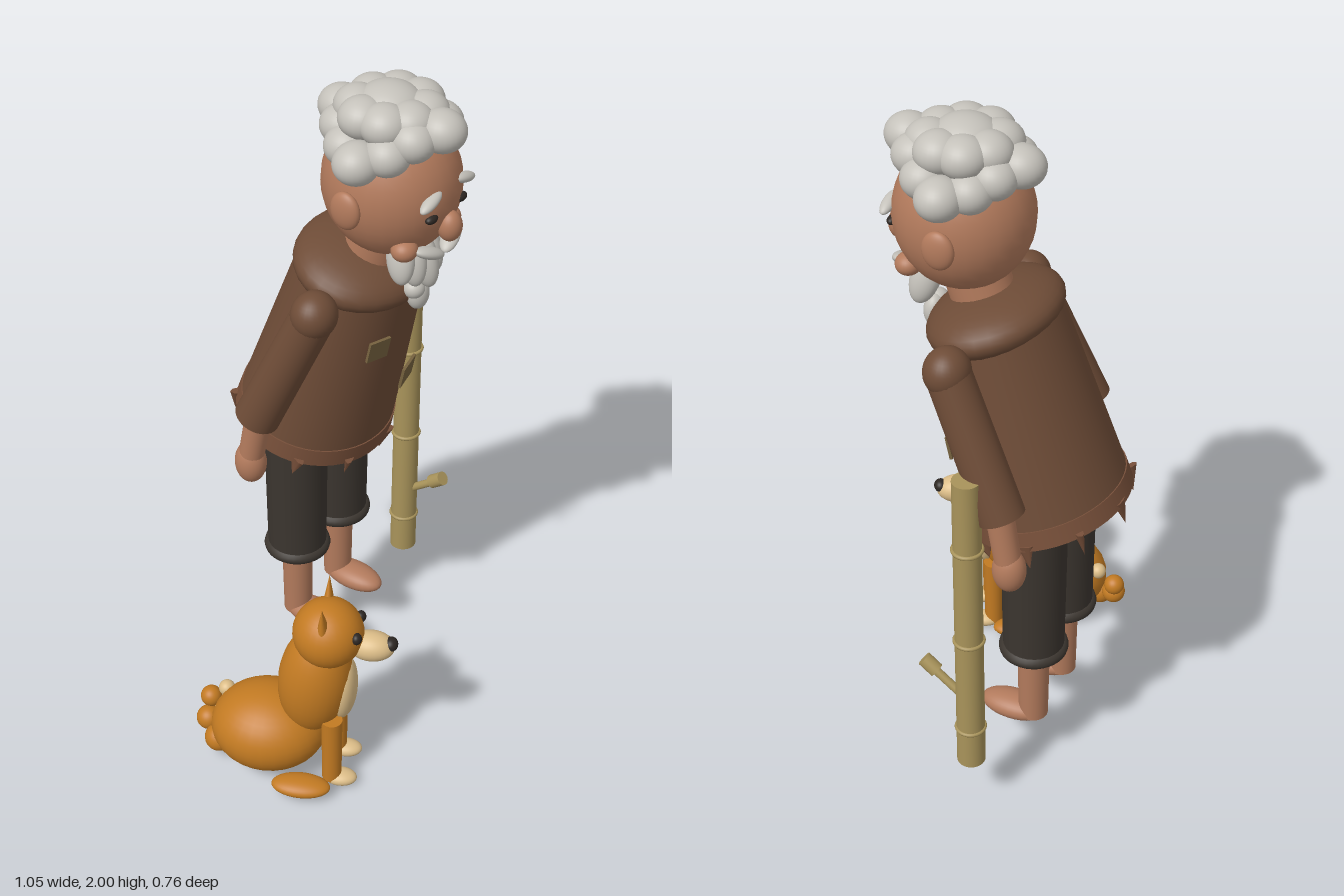
import * as THREE from 'three';

const paint = (name, color) => Object.assign(new THREE.MeshStandardMaterial({ color }), { name });

export function createModel() {
  const skin = paint('skin', 0xb27a5c), hair = paint('greyHair', 0xc4c1ba), coat = paint('coatBrown', 0x6e4c37),
    hemBrown = paint('hemBrown', 0x78503a), cloth = paint('trouserCloth', 0x3b352f), patchMat = paint('patch', 0x76623f),
    bamboo = paint('bamboo', 0xa8935a), fur = paint('orangeFur', 0xc27a22), cream = paint('cream', 0xdcbd88),
    dark = paint('dark', 0x2c2622);
  const model = new THREE.Group();
  const sub = (parent, name, x, y, z) => {
    const g = new THREE.Group();
    g.name = name;
    g.position.set(x, y, z);
    parent.add(g);
    return g;
  };
  const add = (parent, name, geo, mat, pos, rot = [0, 0, 0]) => {
    const m = new THREE.Mesh(geo, mat);
    m.name = name;
    m.position.set(...pos);
    m.rotation.set(...rot);
    parent.add(m);
    return m;
  };
  // ellipsoid with three radii
  const ball = (parent, name, mat, pos, r, rot) => {
    const m = add(parent, name, new THREE.SphereGeometry(1, 28, 20), mat, pos, rot);
    m.scale.set(...r);
    return m;
  };
  // round limb from point a to point b
  const limb = (parent, name, mat, a, b, ra, rb) => {
    const p = new THREE.Vector3(...a), q = new THREE.Vector3(...b), d = q.clone().sub(p);
    const m = add(parent, name, new THREE.CylinderGeometry(rb, ra, d.length(), 28), mat, p.clone().add(q).multiplyScalar(0.5).toArray());
    m.quaternion.setFromUnitVectors(new THREE.Vector3(0, 1, 0), d.normalize());
    return m;
  };

  // ---- old man ----
  const man = sub(model, 'oldMan', 0.14, 0, 0);

  // coat, leaning forward
  const torso = sub(man, 'coat', 0, 0.92, -0.145);
  torso.rotation.x = 0.28;
  add(torso, 'coatBody', new THREE.CylinderGeometry(0.185, 0.24, 0.58, 48), coat, [0, 0.29, 0]).scale.z = 0.9;
  ball(torso, 'collar', coat, [0, 0.56, 0], [0.215, 0.08, 0.178]);
  add(torso, 'hem', new THREE.CylinderGeometry(0.241, 0.246, 0.055, 48), hemBrown, [0, 0, 0]).scale.z = 0.9;
  for (let i = 0; i < 9; i++) {
    const a = (i + 0.4) / 9 * Math.PI * 2;
    const tatter = add(torso, 'tatter', new THREE.ConeGeometry(0.032, 0.075, 8), hemBrown,
      [Math.sin(a) * 0.235, -0.05, Math.cos(a) * 0.212], [Math.PI, a, 0]);
    tatter.scale.z = 0.4;
  }
  add(torso, 'chestPatch', new THREE.BoxGeometry(0.068, 0.066, 0.008), patchMat, [-0.12, 0.427, 0.178], [-0.08, -0.3, 0]);
  add(torso, 'bellyPatch', new THREE.BoxGeometry(0.08, 0.068, 0.008), patchMat, [0.085, 0.214, 0.196], [-0.08, 0.2, 0]);

  // arms and legs
  for (const s of [-1, 1]) {
    ball(man, 'shoulder', coat, [s * 0.25, 1.42, 0.03], [0.066, 0.066, 0.062]);
    limb(man, 'sleeve', coat, [s * 0.25, 1.42, 0.03], [s * 0.29, 1.04, -0.135], 0.06, 0.064);
    limb(man, 'forearm', skin, [s * 0.29, 1.07, -0.125], [s * 0.296, 0.9, -0.155], 0.038, 0.036);
    ball(man, 'hand', skin, [s * 0.296, 0.875, -0.158], [0.043, 0.066, 0.046]);

    const x = s * 0.103;
    limb(man, 'trouserLeg', cloth, [x, 0.45, -0.145], [x, 0.96, -0.145], 0.086, 0.092);
    add(man, 'trouserCuff', new THREE.TorusGeometry(0.079, 0.019, 12, 36), cloth, [x, 0.45, -0.145], [Math.PI / 2, 0, 0]);
    limb(man, 'shin', skin, [x, 0.19, -0.145], [x, 0.46, -0.145], 0.042, 0.046);
    ball(man, 'foot', skin, [x, 0.195, -0.085], [0.052, 0.036, 0.1]);
  }

  // head
  limb(man, 'neck', skin, [0, 1.46, 0.03], [0, 1.62, 0.085], 0.085, 0.085);
  ball(man, 'head', skin, [0, 1.73, 0.095], [0.18, 0.2, 0.185]);
  ball(man, 'nose', skin, [0, 1.655, 0.275], [0.033, 0.043, 0.033]);
  for (const s of [-1, 1]) {
    ball(man, 'ear', skin, [s * 0.184, 1.72, 0.08], [0.022, 0.053, 0.044]);
    ball(man, 'cheek', skin, [s * 0.1, 1.607, 0.205], [0.037, 0.03, 0.035]);
    ball(man, 'eye', dark, [s * 0.067, 1.703, 0.262], [0.022, 0.012, 0.014]);
    ball(man, 'eyebrow', hair, [s * 0.077, 1.757, 0.265], [0.044, 0.014, 0.018], [0, 0, s * -0.3]);
    ball(man, 'moustache', hair, [s * 0.05, 1.588, 0.248], [0.053, 0.016, 0.025], [0, s * 0.25, s * 0.42]);
  }
  // beard strands and tip
  for (let i = -2; i <= 2; i++) {
    const k = Math.abs(i);
    ball(man, 'beardStrand', hair, [i * 0.035, 1.53 + k * 0.013, 0.2 - k * 0.013], [0.032, 0.085 - k * 0.006, 0.04], [-0.25, 0, i * 0.12]);
  }
  ball(man, 'beardTip', hair, [0, 1.415, 0.185], [0.034, 0.048, 0.03]);
  ball(man, 'beardTuft', hair, [-0.02, 1.44, 0.185], [0.03, 0.028, 0.03]);

  // curly hair: lower ring, upper ring and crown
  for (let i = 0; i < 12; i++) {
    const a = i / 12 * Math.PI * 2, r = 0.128 + 0.022 * Math.cos(4 * a);
    const y = 1.875 + 0.03 * Math.cos(2 * a) + 0.012 * Math.cos(a);
    ball(man, 'curl', hair, [Math.sin(a) * r, y, 0.09 + Math.cos(a) * r], [0.062, 0.056, 0.066], [0, a, 0]);
  }
  for (let i = 0; i < 8; i++) {
    const a = (i + 0.5) / 8 * Math.PI * 2;
    ball(man, 'topCurl', hair, [Math.sin(a) * 0.085, 1.93, 0.09 + Math.cos(a) * 0.085], [0.065, 0.055, 0.065]);
  }
  ball(man, 'crownCurl', hair, [0, 1.94, 0.085], [0.085, 0.06, 0.09]);

  // ---- bamboo staff ----
  const staff = sub(model, 'staff', 0.475, 0, -0.057);
  limb(staff, 'pole', bamboo, [0, 0.18, 0], [0, 1.165, 0], 0.04, 0.038);
  for (const y of [0.305, 0.625, 0.94])
    add(staff, 'joint', new THREE.TorusGeometry(0.039, 0.006, 8, 32), bamboo, [0, y, 0], [Math.PI / 2, 0, 0]);
  limb(staff, 'twig', bamboo, [0, 0.41, 0.02], [0, 0.48, 0.11], 0.012, 0.012);
  limb(staff, 'twigKnob', bamboo, [0, 0.475, 0.1], [0, 0.505, 0.138], 0.021, 0.021);

  // ---- sitting dog ----
  const dog = sub(model, 'dog', -0.38, 0, 0.06);
  dog.rotation.y = 0.48;
  ball(dog, 'haunches', fur, [0, 0.155, 0], [0.146, 0.125, 0.168]);
  ball(dog, 'chest', fur, [0, 0.36, 0.135], [0.102, 0.19, 0.105], [0.12, 0, 0]);
  ball(dog, 'bib', cream, [0, 0.335, 0.215], [0.062, 0.11, 0.04], [0.05, 0, 0]);
  ball(dog, 'dogHead', fur, [0, 0.54, 0.172], [0.1, 0.1, 0.1]);
  ball(dog, 'muzzle', cream, [0, 0.505, 0.292], [0.046, 0.042, 0.066]);
  ball(dog, 'dogNose', dark, [0, 0.518, 0.346], [0.023, 0.02, 0.02]);
  for (const s of [-1, 1]) {
    ball(dog, 'dogEye', dark, [s * 0.045, 0.568, 0.256], [0.017, 0.017, 0.015]);
    add(dog, 'dogEar', new THREE.ConeGeometry(0.032, 0.105, 20), fur, [s * 0.062, 0.635, 0.165], [0, 0, s * -0.2]).scale.z = 0.6;
    limb(dog, 'frontLeg', fur, [s * 0.057, 0.025, 0.19], [s * 0.057, 0.255, 0.19], 0.028, 0.03);
    ball(dog, 'frontPaw', cream, [s * 0.057, 0.026, 0.215], [0.032, 0.022, 0.048]);
    ball(dog, 'hindPaw', fur, [s * 0.125, 0.045, 0.11], [0.044, 0.025, 0.085]);
  }
  // curled tail
  [[0, 0.075, -0.15, 0.042], [0.045, 0.105, -0.188, 0.036], [0.078, 0.16, -0.185, 0.031], [0.068, 0.21, -0.135, 0.024]]
    .forEach(([x, y, z, r], i) => ball(dog, 'tail', i === 3 ? cream : fur, [x, y, z], [r, r, r]));

  return model;
}
